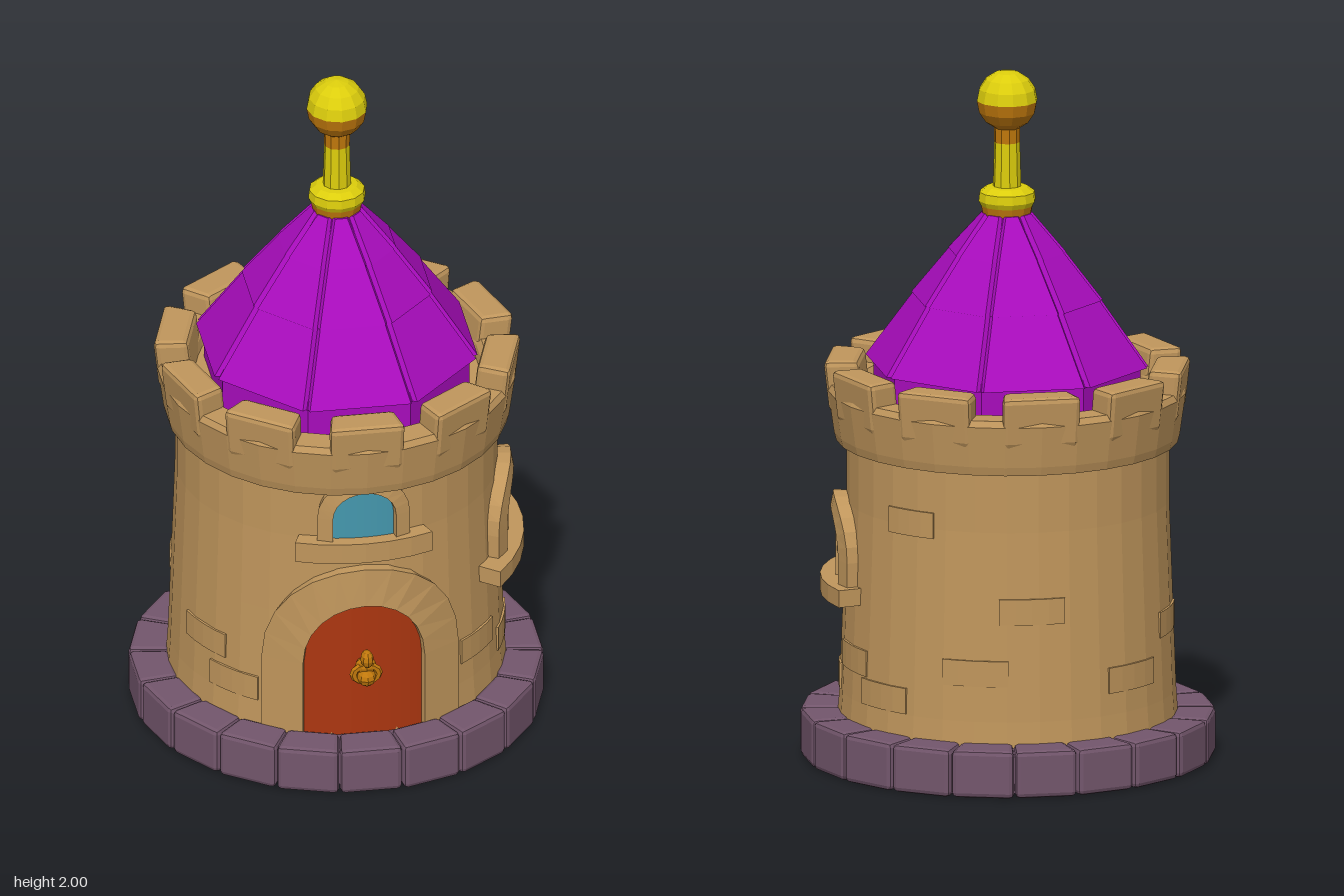
import * as THREE from 'three';
import { RoundedBoxGeometry } from 'three/addons/geometries/RoundedBoxGeometry.js';

const paint = (name, color) => {
  const m = new THREE.MeshStandardMaterial({ color });
  m.name = name;
  return m;
};

export function createModel() {
  const model = new THREE.Group();
  model.name = 'castleTower';
  const sand = paint('sandstone', 0xc0965c);
  const slate = paint('mauveStone', 0x73566c);
  const purple = paint('purpleRoof', 0xa80cbc);
  const rust = paint('rustDoor', 0xac3610);
  const glass = paint('tealGlass', 0x4598ae);
  const yellow = paint('yellowGold', 0xdccd0c);
  const amber = paint('amberGold', 0xc0780c);

  // Facetted mesh: every face gets its own normal
  const add = (name, geo, mat, parent = model) => {
    const g = geo.index ? geo.toNonIndexed() : geo;
    g.computeVertexNormals();
    const mesh = new THREE.Mesh(g, mat);
    mesh.name = name;
    parent.add(mesh);
    return mesh;
  };
  const group = (name, sx = 1) => {
    const g = new THREE.Group();
    g.name = name;
    g.scale.x = sx;
    model.add(g);
    return g;
  };
  // Move each vertex by a rule
  const warp = (geo, rule) => {
    const p = geo.attributes.position;
    for (let i = 0; i < p.count; i++) p.setXYZ(i, ...rule(p.getX(i), p.getY(i), p.getZ(i)));
    return geo;
  };
  // Wrap x around the tower; z becomes the radius
  const wrap = (geo, angle, R = 0.48) =>
    warp(geo, (x, y, z) => [z * Math.sin(angle + x / R), y, z * Math.cos(angle + x / R)]);
  const lathe = (pts, n, start = 0) =>
    new THREE.LatheGeometry(pts.map(([r, y]) => new THREE.Vector2(r, y)), n, start);
  const jitter = (i) => Math.sin(i * 12.9) * 0.5;

  // Foundation: disc and a ring of rounded blocks
  const base = group('foundation', 0.97);
  add('foundationCore', lathe([[0, 0.006], [0.56, 0.006], [0.58, 0.125], [0, 0.125]], 40), slate, base);
  for (let i = 0; i < 20; i++) {
    const g = new RoundedBoxGeometry(0.17, 0.138 + jitter(i) * 0.006, 0.12, 1, 0.014);
    g.translate(0, 0.069, 0.55 + jitter(i * 3) * 0.006);
    add('foundationBlock', wrap(g, i * Math.PI / 10, 0.55), slate, base);
  }

  // Tower wall
  const wall = group('tower', 0.985);
  wall.position.z = -0.012;
  add('towerWall', lathe([[0.495, 0.1], [0.488, 0.2], [0.477, 0.5], [0.468, 0.75], [0.468, 0.95]], 32), sand, wall);
  const wallRadius = (y) => y < 0.5 ? 0.488 - (y - 0.2) * 0.037 : 0.477 - (y - 0.5) * 0.03;

  // A few slightly raised wall stones
  [[0.85, 0.3], [1.3, 0.24], [1.75, 0.32], [2.1, 0.24], [2.75, 0.34], [3.1, 0.52], [3.8, 0.3],
    [4.3, 0.42], [5.2, 0.34], [5.45, 0.24], [2.3, 0.76]].forEach(([a, y], i) => {
    const g = new THREE.BoxGeometry(0.17 + jitter(i) * 0.05, 0.075, 0.016, 4, 1, 1);
    g.translate(0, y, wallRadius(y) - 0.004);
    add('wallStone', wrap(g, a), sand, wall);
  });

  // Point on an arch: straight legs, then a half ellipse, t runs 0..1 left to right
  const archPoint = (t, { w, y0, spring, top }) => {
    if (t < 0.2) return [-w, y0 + (spring - y0) * t / 0.2];
    if (t > 0.8) return [w, y0 + (spring - y0) * (1 - t) / 0.2];
    const a = Math.PI * (0.8 - t) / 0.6;
    return [w * Math.cos(a), spring + (top - spring) * Math.sin(a)];
  };
  const archFrame = (name, inner, outer, r0, r1, angle) => {
    const g = warp(new THREE.BoxGeometry(1, 1, 1, 20, 1, 1), (x, y, z) => {
      const p = archPoint(x + 0.5, inner), q = archPoint(x + 0.5, outer);
      const k = y + 0.5;
      // The outer front edge is eased back a little
      const r = z > 0 ? r1 - 0.008 * k : r0;
      return [p[0] + (q[0] - p[0]) * k, p[1] + (q[1] - p[1]) * k, r];
    });
    add(name, wrap(g, angle), sand, wall);
  };
  const archPanel = (name, { w, y0, spring, top }, r, mat, angle) => {
    const g = warp(new THREE.BoxGeometry(2, 1, 0.008, 14, 1, 1), (x, y, z) => {
      const s = Math.sin(x * Math.PI / 2);
      const edge = spring + (top - spring) * Math.sqrt(Math.max(0, 1 - s * s));
      return [s * w, y0 + (y + 0.5) * (edge - y0), r + z];
    });
    add(name, wrap(g, angle), mat, wall);
  };
  const slab = (name, w, h, y, r0, r1, angle, x = 0) => {
    const g = new THREE.BoxGeometry(w, h, r1 - r0, 6, 1, 1).translate(x, y, (r0 + r1) / 2);
    add(name, wrap(g, angle), sand, wall);
  };

  // Door with stone surround
  const doorway = { w: 0.172, y0: 0.12, spring: 0.36, top: 0.55 };
  archPanel('door', doorway, 0.489, rust, 0);
  archFrame('doorSurround', doorway, { w: 0.295, y0: 0.12, spring: 0.36, top: 0.665 }, 0.44, 0.511, 0);

  // Door knocker
  const knocker = group('doorKnocker');
  const knob = (r, x, y, z, sx = 1, sy = 1, sz = 1) => {
    const m = add('knockerBall', new THREE.SphereGeometry(r, 8, 6), amber, knocker);
    m.position.set(x, y, z);
    m.scale.set(sx, sy, sz);
  };
  knob(0.024, 0, 0.39, 0.52, 0.8, 1.1, 1.2);
  knob(0.026, 0, 0.355, 0.495, 1.2, 1, 1);
  knob(0.028, 0, 0.325, 0.51, 1, 0.9, 1.2);
  const ring = add('knockerRing', new THREE.TorusGeometry(0.036, 0.012, 6, 12), amber, knocker);
  ring.position.set(0, 0.335, 0.505);
  ring.scale.y = 0.75;

  // Small front window
  const small = { w: 0.09, y0: 0.75, spring: 0.83, top: 0.912 };
  archPanel('frontWindowGlass', small, 0.473, glass, 0);
  archFrame('frontWindowFrame', small, { w: 0.135, y0: 0.75, spring: 0.83, top: 0.955 }, 0.44, 0.5, 0);
  slab('frontWindowSill', 0.385, 0.062, 0.727, 0.44, 0.518, 0);

  // Large side window with crossed bars
  const side = 80.5 * Math.PI / 180;
  const large = { w: 0.13, y0: 0.515, spring: 0.6, top: 0.73 };
  archPanel('sideWindowGlass', large, 0.481, glass, side);
  archFrame('sideWindowFrame', large, { w: 0.182, y0: 0.515, spring: 0.6, top: 0.772 }, 0.44, 0.515, side);
  slab('sideWindowSill', 0.45, 0.05, 0.505, 0.44, 0.545, side, -0.02);
  slab('sideWindowPost', 0.03, 0.21, 0.625, 0.47, 0.5, side);
  slab('sideWindowBar', 0.25, 0.022, 0.615, 0.47, 0.497, side);

  // Parapet and ten merlons
  const parapet = group('parapet', 0.95);
  add('parapetRing', lathe([[0.46, 0.92], [0.515, 0.925], [0.522, 0.95], [0.54, 1.07], [0.53, 1.088],
    [0.45, 1.088], [0.435, 1.07], [0.43, 1.04], [0, 1.04]], 30), sand, parapet);
  for (let i = 0; i < 10; i++) {
    const g = new RoundedBoxGeometry(0.215 + jitter(i) * 0.02, 0.15, 0.105, 1, 0.016);
    g.translate(0, 1.08, 0.5);
    // Lean the outer face outwards
    warp(g, (x, y, z) => [x, y, z + (y - 1.155) * 0.12]);
    add('merlon', wrap(g, i * Math.PI / 5, 0.5), sand, parapet);
  }

  // Eight-sided roof: inner core plus three tiers of tiles
  const roof = group('roof', 0.93);
  const c = 1 / Math.cos(Math.PI / 8);
  add('roofCore', lathe([[0.385, 1.03], [0.385, 1.15], [0.25, 1.34], [0.15, 1.475], [0.06, 1.585], [0, 1.585]]
    .map(([r, y]) => [r * c, y]), 8, Math.PI / 8), purple, roof);
  add('roofEave', lathe([[0.37, 1.148], [0.395, 1.148], [0.38, 1.17]]
    .map(([r, y]) => [r * c, y]), 8, Math.PI / 8), purple, roof);
  [[0.41, 1.15, 0.266, 1.35], [0.278, 1.34, 0.162, 1.485], [0.172, 1.475, 0.075, 1.585]]
    .forEach(([a0, y0, a1, y1]) => {
      for (let k = 0; k < 8; k++) {
        const g = warp(new THREE.BoxGeometry(1, 1, 1), (x, y, z) => {
          const a = a0 + (a1 - a0) * (y + 0.5);
          const half = a * Math.tan(Math.PI / 8) - (z > 0 ? 0.012 : 0.005);
          return [x * 2 * half, y0 + (y1 - y0) * (y + 0.5), z > 0 ? a : a - 0.03];
        });
        add('roofTile', g.rotateY(k * Math.PI / 4), purple, roof);
      }
    });

  // Finial: collar, pole and two-toned ball
  const finial = group('finial');
  add('collarBase', lathe([[0.05, 1.575], [0.07, 1.58], [0.075, 1.605]], 12), amber, finial);
  add('collar', lathe([[0.075, 1.605], [0.083, 1.62], [0.08, 1.645], [0.06, 1.66], [0, 1.665]], 12), yellow, finial);
  add('pole', lathe([[0.041, 1.65], [0.037, 1.79]], 10), yellow, finial);
  add('poleTop', lathe([[0.037, 1.79], [0.038, 1.85]], 10), amber, finial);
  const half = (name, start, mat) => {
    const b = add(name, new THREE.SphereGeometry(0.088, 12, 4, 0, Math.PI * 2, start, Math.PI / 2), mat, finial);
    b.position.y = 1.912;
    b.scale.z = 1.08;
  };
  half('ballTop', 0, yellow);
  half('ballBottom', Math.PI / 2, amber);

  return model;
}
